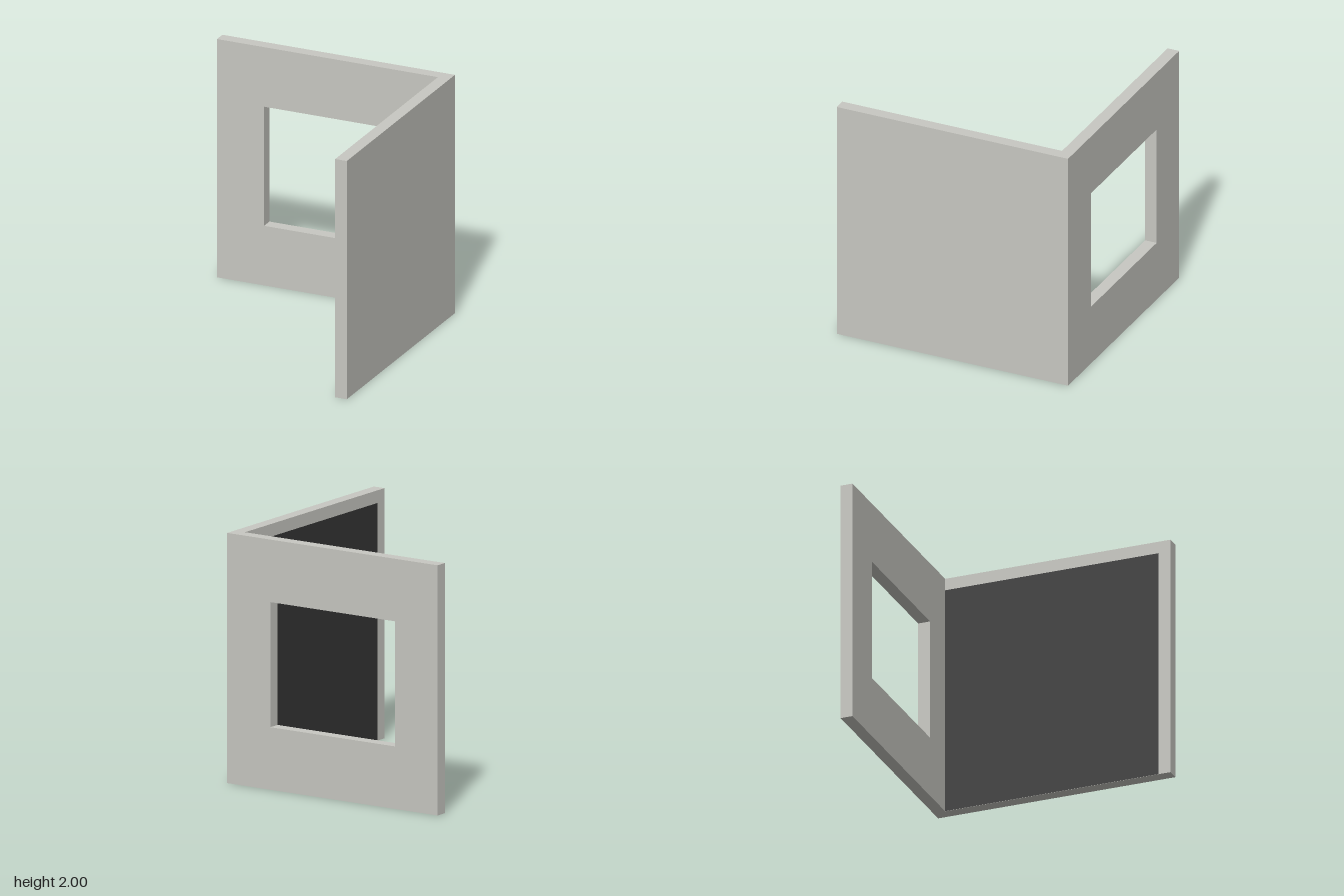
import * as THREE from 'three';

const H = 2;        // wall height
const T = 0.1;      // wall thickness

export function createModel() {
  const group = new THREE.Group();
  group.name = 'cornerWalls';

  const plaster = new THREE.MeshStandardMaterial({ color: 0xc8c8c2 });
  plaster.name = 'pale grey plaster';
  const dark = new THREE.MeshStandardMaterial({ color: 0x343434 });
  dark.name = 'charcoal';

  // Back wall with a rectangular window opening
  const rect = (Type, x0, y0, x1, y1) => new Type([
    new THREE.Vector2(x0, y0), new THREE.Vector2(x1, y0),
    new THREE.Vector2(x1, y1), new THREE.Vector2(x0, y1),
  ]);
  const outline = rect(THREE.Shape, -1, 0, 1 - T, H);
  outline.holes.push(rect(THREE.Path, -0.595, 0.5, 0.59, 1.5));
  const backWall = new THREE.Mesh(
    new THREE.ExtrudeGeometry(outline, { depth: T, bevelEnabled: false }), plaster);
  backWall.name = 'backWall';
  backWall.position.z = -1;
  group.add(backWall);

  // Solid side wall, running the full depth
  const sideWall = new THREE.Mesh(new THREE.BoxGeometry(T, H, 2), plaster);
  sideWall.name = 'sideWall';
  sideWall.position.set(1 - T / 2, H / 2, 0);
  group.add(sideWall);

  // Dark panel painted on the inner face of the side wall
  const panel = new THREE.Mesh(new THREE.PlaneGeometry(1.8, 1.9), dark);
  panel.name = 'innerPanel';
  panel.rotation.y = -Math.PI / 2;
  panel.position.set(1 - T - 0.003, 0.95, 0);
  group.add(panel);

  return group;
}
